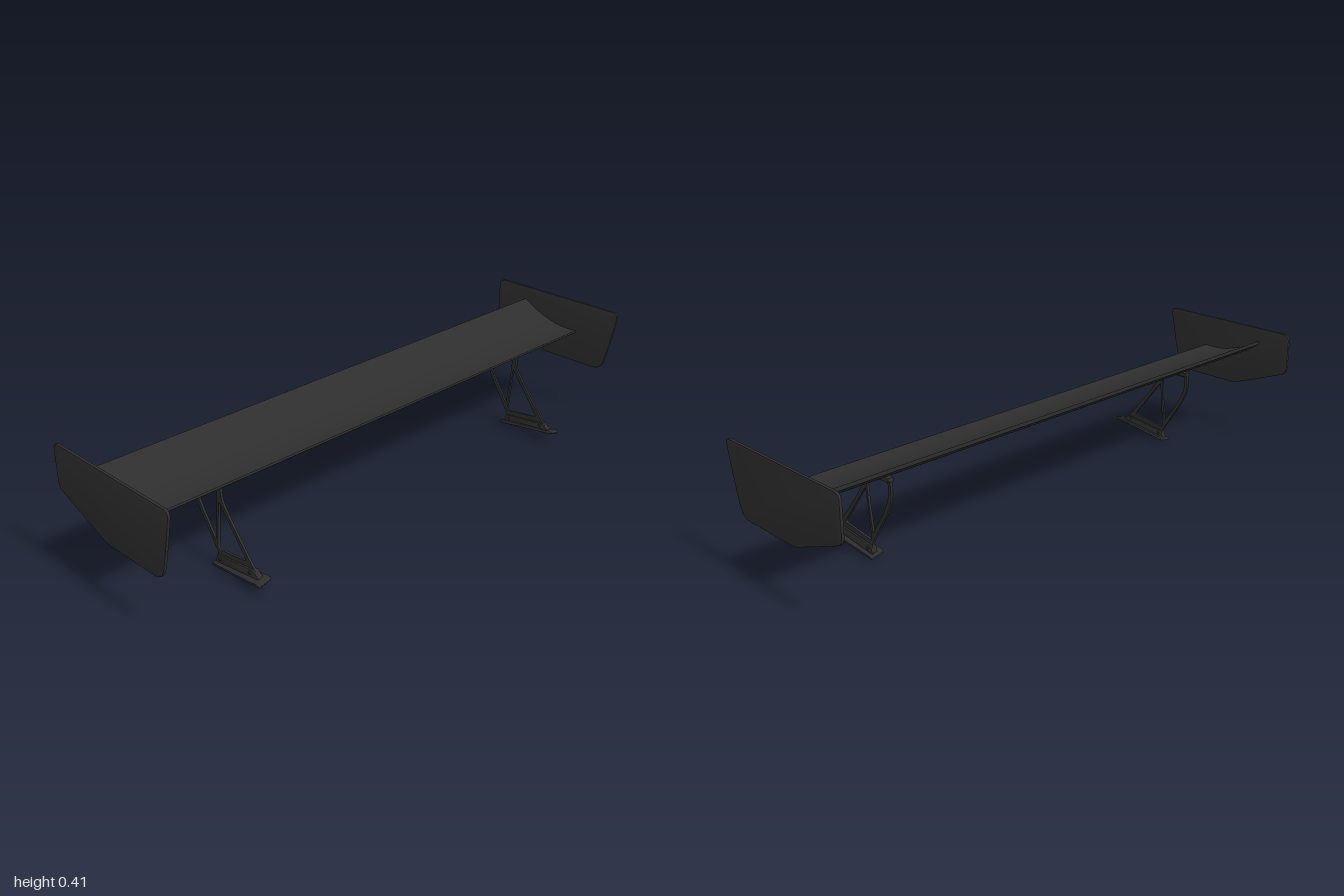
import * as THREE from 'three';
import { toCreasedNormals } from 'three/addons/utils/BufferGeometryUtils.js';

// Closed outline of [z, y, radius] corners, each rounded by its own radius
function outline(points, Type = THREE.Shape) {
  const path = new Type();
  const n = points.length;
  points.forEach(([z, y, r = 0], i) => {
    const corner = new THREE.Vector2(z, y);
    const toward = (p) => {
      const d = new THREE.Vector2(p[0], p[1]).sub(corner);
      return d.setLength(Math.min(r, d.length() * 0.49)).add(corner);
    };
    const a = toward(points[(i + n - 1) % n]);
    const b = toward(points[(i + 1) % n]);
    if (i === 0) path.moveTo(a.x, a.y);
    else path.lineTo(a.x, a.y);
    if (r > 0) path.quadraticCurveTo(z, y, b.x, b.y);
  });
  path.closePath();
  return path;
}

// Side profile (z, y) given a width along x, centred on x = 0
function extrudeSide(shape, width, bevel = 0) {
  const geo = new THREE.ExtrudeGeometry(shape, {
    depth: width - 2 * bevel, curveSegments: 8,
    bevelEnabled: bevel > 0, bevelSize: bevel, bevelThickness: bevel, bevelOffset: -bevel, bevelSegments: 2,
  });
  geo.translate(0, 0, bevel - width / 2);
  geo.rotateY(-Math.PI / 2);
  return toCreasedNormals(geo, 0.6);
}

export function createModel() {
  const group = new THREE.Group();
  const black = new THREE.MeshStandardMaterial({ color: 0x2e2e2e });
  black.name = 'satin black';

  const add = (parent, name, geometry, x = 0, y = 0, z = 0) => {
    const mesh = new THREE.Mesh(geometry, black);
    mesh.name = name;
    mesh.position.set(x, y, z);
    parent.add(mesh);
    return mesh;
  };

  // Main blade: thin cambered aerofoil, rising to the rear
  const v = (z, y) => new THREE.Vector2(z, y);
  const blade = new THREE.Shape();
  blade.moveTo(0.098, 0.302);
  blade.splineThru([v(0.05, 0.301), v(0, 0.307), v(-0.07, 0.329), v(-0.145, 0.367)]);
  blade.lineTo(-0.145, 0.354);
  blade.splineThru([v(-0.09, 0.318), v(-0.03, 0.295), v(0.04, 0.288), v(0.094, 0.291)]);
  blade.quadraticCurveTo(0.103, 0.296, 0.098, 0.302);
  add(group, 'wingBlade', extrudeSide(blade, 1.985));

  // Profiles shared by both sides
  const endPlate = extrudeSide(outline([
    [0.277, 0.416, 0.025], [-0.275, 0.416, 0.025], [-0.275, 0.268, 0.025],
    [-0.045, 0.18, 0.02], [0.222, 0.18, 0.04], [0.25, 0.285, 0.06],
  ]), 0.01, 0.002);

  const strutShape = outline([
    [0.232, 0.045], [0.205, 0.066, 0.01], [0.112, 0.18, 0.03], [0.073, 0.235, 0.02],
    [0.07, 0.29], [-0.062, 0.29], [-0.068, 0.235, 0.045], [-0.045, 0.18, 0.03],
    [0.043, 0.045, 0.005], [0.035, 0.015],
  ]);
  strutShape.holes.push(
    outline([[0.177, 0.076, 0.012], [0.042, 0.058, 0.01], [0.054, 0.18, 0.02],
      [0.06, 0.228, 0.003], [0.097, 0.18, 0.02]], THREE.Path),
    outline([[0.034, 0.085, 0.006], [-0.03, 0.18, 0.03], [-0.054, 0.235, 0.03],
      [-0.052, 0.277, 0.008], [0.054, 0.277, 0.008], [0.047, 0.18, 0.02]], THREE.Path),
  );
  const strut = extrudeSide(strutShape, 0.008);

  const bracket = extrudeSide(outline([
    [0.238, 0.036], [0.232, 0.046, 0.005], [0.208, 0.062, 0.006],
    [0.043, 0.042, 0.006], [0.034, 0.012],
  ]), 0.02, 0.002);

  const footPivot = 0.025;
  const footPlate = extrudeSide(outline([
    [0.258, 0.035, 0.003], [0.258, 0.042, 0.004], [0.245, 0.046, 0.004],
    [0.225, 0.041, 0.004], [0.05, 0.02, 0.004], [0.03, 0.018, 0.004], [0.029, 0.007, 0.002],
  ]), 0.048, 0.002).translate(0, -footPivot, 0);

  const mountPad = new THREE.BoxGeometry(0.02, 0.013, 0.134);
  const bolt = new THREE.CylinderGeometry(0.005, 0.005, 0.028, 12).rotateZ(Math.PI / 2);

  for (const side of [-1, 1]) {
    const label = side > 0 ? 'left' : 'right';
    add(group, label + 'EndPlate', endPlate, side * 0.995);

    // Upright with its mounting pad and foot
    const support = new THREE.Group();
    support.name = label + 'Support';
    support.position.x = side * 0.677;
    group.add(support);
    add(support, 'strut', strut);
    add(support, 'mountPad', mountPad, 0, 0.288, 0.005);
    add(support, 'footBracket', bracket);
    add(support, 'footPlate', footPlate, 0, footPivot).rotation.z = -side * 0.25;
    add(support, 'frontBolt', bolt, 0, 0.05, 0.197);
    add(support, 'rearBolt', bolt, 0, 0.032, 0.057);
  }
  return group;
}
